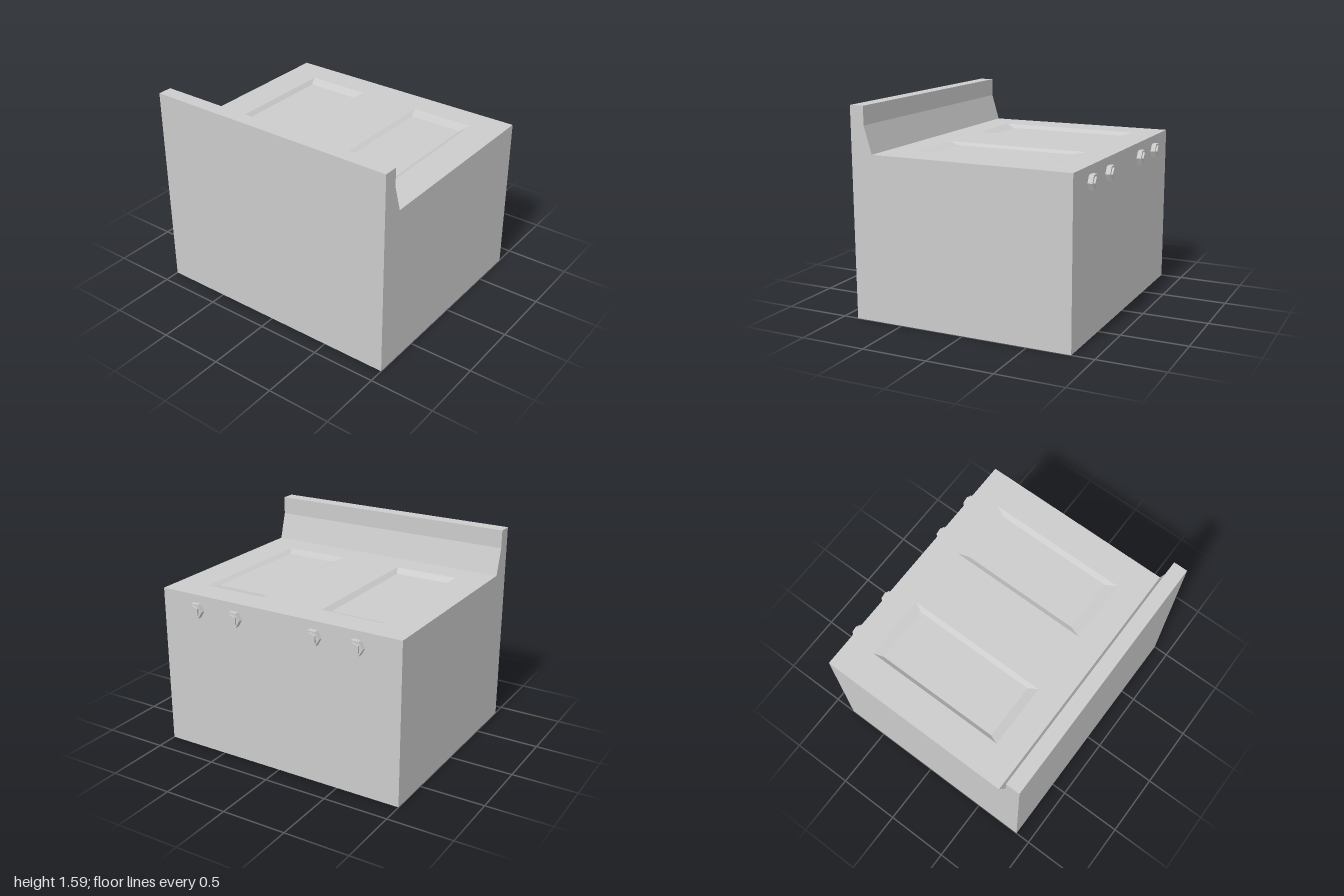
import * as THREE from 'three';

const material = new THREE.MeshStandardMaterial({ color: 0xcccccc, flatShading: true });
const DECK = 1.245;

function addMesh(group, name, geometry) {
  const mesh = new THREE.Mesh(geometry, material);
  mesh.name = name;
  group.add(mesh);
  return mesh;
}

// Flat-shaded surface from quads, corners counter-clockwise from outside
function quads(list) {
  const points = list.flatMap(([a, b, c, d]) => [a, b, c, a, c, d]).flat();
  const geometry = new THREE.BufferGeometry();
  geometry.setAttribute('position', new THREE.Float32BufferAttribute(points, 3));
  geometry.computeVertexNormals();
  return geometry;
}

// Corners of a horizontal rectangle, counter-clockwise seen from above
const rectangle = (x0, x1, z0, z1, y) => [[x0, y, z1], [x1, y, z1], [x1, y, z0], [x0, y, z0]];

const toShape = (points) => new THREE.Shape(points.map(([x, y]) => new THREE.Vector2(x, y)));

export function createModel() {
  const model = new THREE.Group();
  model.name = 'block';

  // Side profile: the last segment is the deck, which gets its own pierced face
  const profile = [
    [-0.71, DECK], [-0.77, 1.45], [-0.77, 1.59], [-0.88, 1.59],
    [-0.88, 0], [0.83, 0], [0.83, DECK],
  ];
  const strips = profile.slice(1).map(([x, y], i) => {
    const [px, py] = profile[i];
    return [[px, py, 1], [px, py, -1], [x, y, -1], [x, y, 1]];
  });
  addMesh(model, 'bodyShell', quads(strips));

  // End walls
  const end = new THREE.ShapeGeometry(toShape(profile));
  addMesh(model, 'frontWall', end).position.z = 1;
  // Mirrored outline turned half round for the back
  const backOutline = profile.map(([x, y]) => [-x, y]);
  const back = addMesh(model, 'backWall', new THREE.ShapeGeometry(toShape(backOutline)));
  back.rotation.y = Math.PI;
  back.position.z = -1;

  // Two sloped recesses: rim, floor and depth
  const recesses = [
    { rim: [-0.5, 0.62, -0.75, -0.25], floor: [-0.43, 0.55, -0.72, -0.285], depth: 0.028 },
    { rim: [-0.5, 0.62, 0.25, 0.75], floor: [-0.41, 0.53, 0.285, 0.71], depth: 0.019 },
  ];

  // Deck pierced by the recess rims (shape y becomes -z)
  const deck = toShape([[-0.71, -1], [0.83, -1], [0.83, 1], [-0.71, 1]]);
  for (const { rim, floor, depth } of recesses) {
    const outer = rectangle(...rim, DECK);
    const inner = rectangle(...floor, DECK - depth);
    deck.holes.push(toShape(outer.map(([x, , z]) => [x, -z])));
    const walls = outer.map((corner, i) => {
      const j = (i + 1) % 4;
      return [corner, outer[j], inner[j], inner[i]];
    });
    addMesh(model, 'deckRecess', quads([...walls, inner]));
  }
  addMesh(model, 'deck', new THREE.ShapeGeometry(deck).rotateX(-Math.PI / 2).translate(0, DECK, 0));

  // Bolts on the +x side: hexagonal nut with a five-sided stud end
  for (const z of [0.69, 0.35, -0.32, -0.66]) {
    const bolt = new THREE.Group();
    bolt.name = 'bolt';
    addMesh(bolt, 'nut', new THREE.CylinderGeometry(0.062, 0.062, 0.036, 6)).position.y = 0.018;
    addMesh(bolt, 'stud', new THREE.CylinderGeometry(0.045, 0.045, 0.05, 5)).position.y = 0.025;
    bolt.rotation.z = -Math.PI / 2;
    bolt.position.set(0.83, 1.13, z);
    model.add(bolt);
  }

  return model;
}
